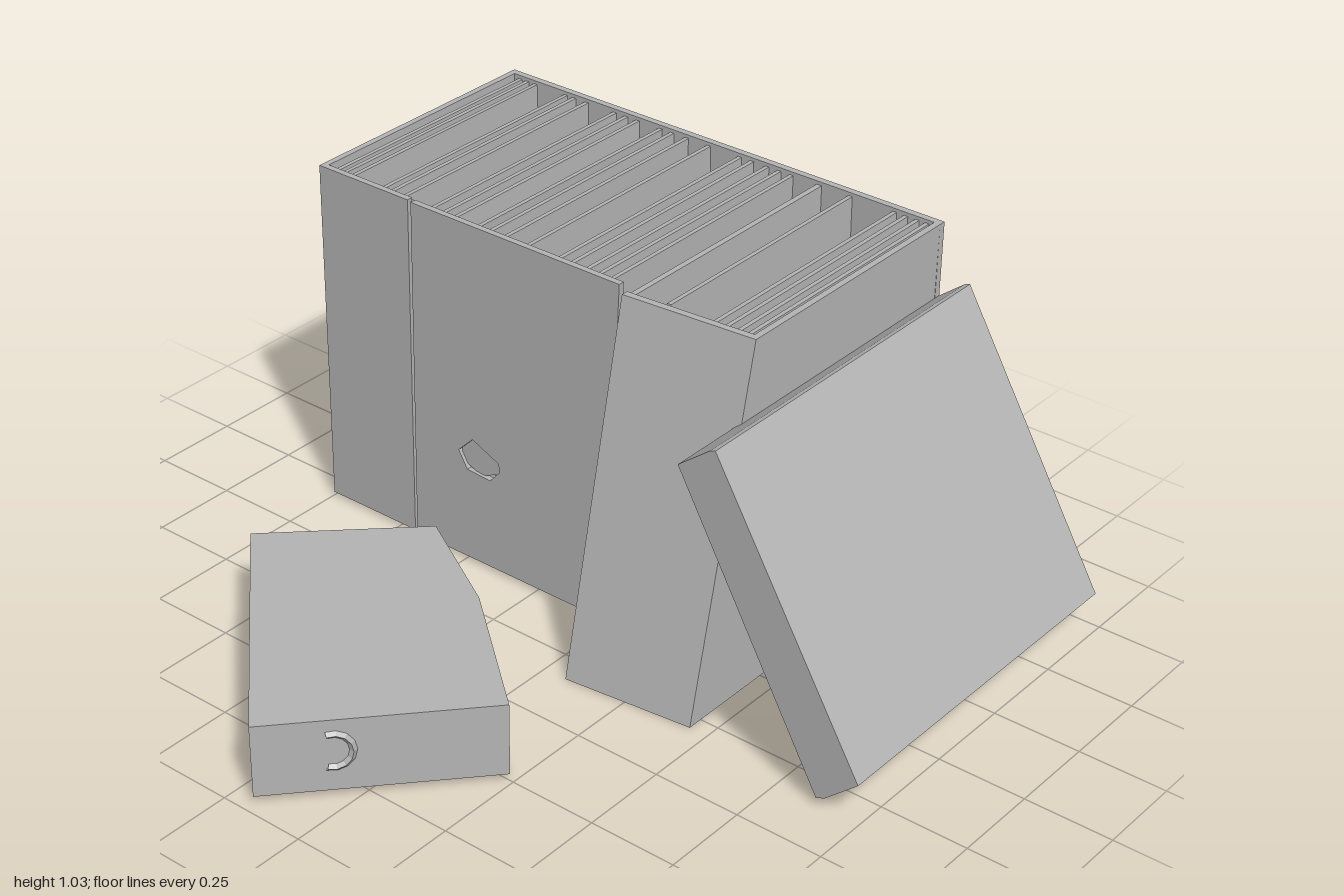
import * as THREE from 'three';

const grey = new THREE.MeshStandardMaterial({ color: 0xb4b4b4, side: THREE.DoubleSide });
grey.name = 'plain grey';

// Six-sided block between a bottom and a top outline, each four [x, z] corners
function block(name, bottom, top, y0, y1) {
  const p = [...bottom.map(([x, z]) => [x, y0, z]), ...top.map(([x, z]) => [x, y1, z])];
  const g = new THREE.BufferGeometry();
  g.setAttribute('position', new THREE.Float32BufferAttribute(p.flat(), 3));
  const index = [0, 2, 1, 0, 3, 2, 4, 5, 6, 4, 6, 7];
  for (let i = 0; i < 4; i++) {
    const j = (i + 1) % 4;
    index.push(i, j, 4 + j, i, 4 + j, 4 + i);
  }
  g.setIndex(index);
  return part(name, g.toNonIndexed());
}

function part(name, geometry) {
  geometry.computeVertexNormals();
  const m = new THREE.Mesh(geometry, grey);
  m.name = name;
  return m;
}

// Outline running from (x0, z0) at the back to (x1, z1) at the front
const rect = (x0, x1, z0, z1) => [[x0, z1], [x1, z1], [x1, z0], [x0, z0]];

// Upright sheet, leaning sideways from xBottom to xTop
const sheet = (name, xTop, xBottom, frontTop, frontBottom, t = 0.012) => block(name,
  rect(xBottom - t / 2, xBottom + t / 2, -0.955, frontBottom),
  rect(xTop - t / 2, xTop + t / 2, -0.955, frontTop), 0.03, 1.03);

export function createModel() {
  const model = new THREE.Group();
  const row = new THREE.Group();
  row.name = 'bookRow';
  model.add(row);

  // Outer walls, open above and below
  row.add(block('backWall', rect(-1, 0.45, -0.97, -0.95), rect(-1, 0.45, -0.97, -0.95), 0.015, 1.04));
  row.add(block('endWall', rect(-1, -0.982, -0.97, -0.18), rect(-1, -0.982, -0.97, -0.18), 0.02, 1.04));
  row.add(block('narrowFront', rect(-1, -0.692, -0.198, -0.18), rect(-1, -0.685, -0.198, -0.18), 0.02, 1.04));
  row.add(block('frontGroove', rect(-0.695, -0.66, -0.205, -0.192), rect(-0.69, -0.66, -0.205, -0.192), 0.02, 1.03));

  // Wide front panel with an irregular finger hole
  const front = new THREE.Shape([[-0.68, 0.02], [-0.01, 0.02], [0.025, 1.04], [-0.67, 1.04]]
    .map(([x, y]) => new THREE.Vector2(x, y)));
  const rim = [[-0.52, 0.35], [-0.47, 0.4], [-0.38, 0.36], [-0.375, 0.335], [-0.41, 0.295], [-0.49, 0.3]]
    .map(([x, y]) => new THREE.Vector2(x, y));
  front.holes.push(new THREE.Path(rim));
  const panel = part('wideFront', new THREE.ExtrudeGeometry(front, { depth: 0.018, bevelEnabled: false }));
  panel.position.z = -0.193;
  row.add(panel);
  const pocket = new THREE.CylinderGeometry(0.075, 0.03, 0.06, 6, 1).toNonIndexed();
  pocket.rotateX(Math.PI / 2);
  pocket.scale(1, 0.75, 1);
  const cup = part('fingerHole', pocket);
  cup.position.set(-0.45, 0.347, -0.215);
  row.add(cup);

  // Last book with a front leaning outwards at its foot
  row.add(block('leaningFront',
    [[0.07, 0.085], [0.445, 0.045], [0.445, 0.025], [0.07, 0.065]],
    [[0.062, -0.14], [0.45, -0.17], [0.45, -0.19], [0.062, -0.16]], 0.01, 1.04));
  row.add(sheet('leaningLeftSide', 0.07, 0.078, -0.15, 0.075, 0.016));
  row.add(block('leaningRightSide', rect(0.425, 0.445, -0.97, 0.045),
    rect(0.432, 0.45, -0.97, -0.17), 0.01, 1.04));

  // Covers and pages: [x at top, x at bottom]
  const leaves = [
    [-0.96, -0.945], [-0.935, -0.92], [-0.905, -0.88],
    [-0.795, -0.775], [-0.765, -0.745], [-0.72, -0.705],
    [-0.62, -0.60], [-0.58, -0.56], [-0.54, -0.50], [-0.46, -0.49], [-0.42, -0.40], [-0.37, -0.38],
    [-0.295, -0.275], [-0.19, -0.17], [-0.15, -0.13], [-0.10, -0.08], [-0.06, -0.04], [-0.02, -0.025],
  ];
  for (const [a, b] of leaves) row.add(sheet('page', a, b, -0.2, -0.2));
  for (const [a, b] of [[0.17, 0.185], [0.31, 0.325], [0.345, 0.36], [0.38, 0.395], [0.41, 0.405]])
    row.add(sheet('leaningPage', a, b, -0.19, -0.05));

  // Closed book propped against the end of the row
  const edge = new THREE.Shape([[0.43, 0.81], [0.875, 0.035], [0.9, 0.045], [0.995, 0.13], [0.54, 0.89], [0.525, 0.885]]
    .map(([x, y]) => new THREE.Vector2(x, y)));
  const propped = part('proppedBook', new THREE.ExtrudeGeometry(edge, { depth: 1.07, bevelEnabled: false }));
  propped.position.z = -0.97;
  model.add(propped);

  // Book lying flat in front
  const outline = new THREE.Shape([[-0.43, 0.02], [-0.78, 0.36], [-0.18, 0.97], [0.24, 0.5], [-0.12, 0.2]]
    .map(([x, z]) => new THREE.Vector2(x, -z)));
  const flat = new THREE.ExtrudeGeometry(outline, { depth: 0.21, bevelEnabled: false });
  flat.rotateX(-Math.PI / 2);
  const lying = part('lyingBook', flat);
  lying.position.y = 0.03;
  model.add(lying);

  // Curved finger pull on its spine
  const pull = part('fingerPull', new THREE.TorusGeometry(0.05, 0.01, 4, 8, Math.PI * 1.2).rotateZ(-Math.PI * 0.6).toNonIndexed());
  pull.position.set(-0.045, 0.15, 0.823);
  pull.rotation.y = Math.atan2(0.47, 0.42);
  model.add(pull);

  return model;
}
